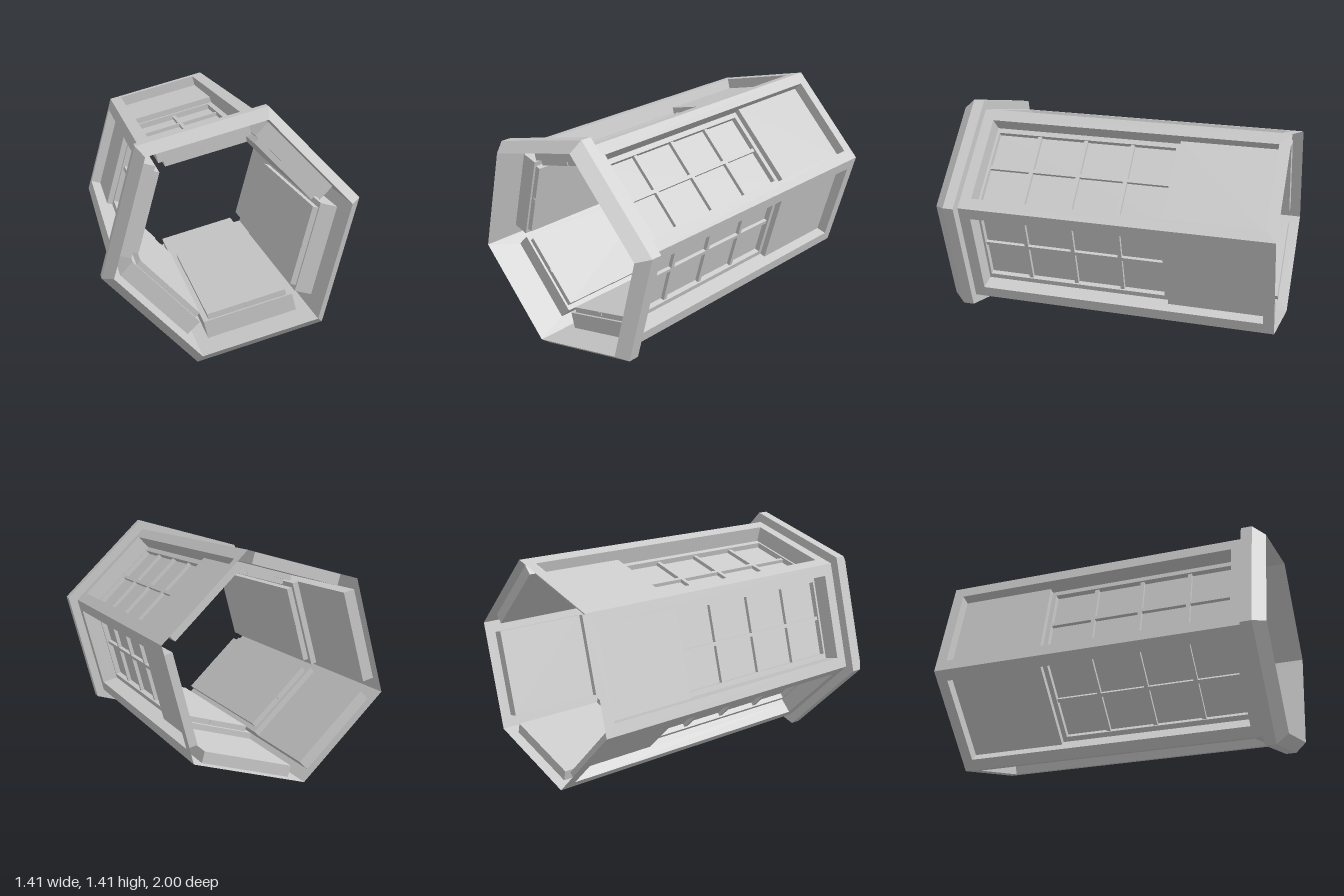
import * as THREE from 'three';

const material = new THREE.MeshStandardMaterial({ color: 0xcccccc, side: THREE.DoubleSide, flatShading: true });
const BODY_R = 0.667, RIM_R = 0.73, AXIS_Y = 0.71;
const WALL = BODY_R * Math.cos(Math.PI / 6); // distance of each wall from the axis
const PANEL = 0.513, SILL = 0.478, GLASS = 0.445; // inward steps, same measure

function add(group, name, geometry, x = 0, y = 0, z = 0) {
  const mesh = new THREE.Mesh(geometry, material);
  mesh.name = name;
  mesh.position.set(x, y, z);
  group.add(mesh);
  return mesh;
}

// Flat-faced skin joining closed loops that have equal point counts
function loft(loops) {
  const pos = [];
  for (let k = 0; k + 1 < loops.length; k++) {
    const a = loops[k], b = loops[k + 1], n = a.length;
    for (let i = 0; i < n; i++) {
      const j = (i + 1) % n;
      pos.push(...a[i], ...a[j], ...b[j], ...a[i], ...b[j], ...b[i]);
    }
  }
  const g = new THREE.BufferGeometry();
  g.setAttribute('position', new THREE.Float32BufferAttribute(pos, 3));
  g.computeVertexNormals();
  return g;
}

// Rectangle in wall space: x across the wall, y along the axis, z outward
const rect = (half, y0, y1, z) => [[-half, y0, z], [half, y0, z], [half, y1, z], [-half, y1, z]];

const hexagon = (r, z) => Array.from({ length: 6 }, (_, i) => {
  const a = THREE.MathUtils.degToRad(15 + 60 * i);
  return [r * Math.cos(a), r * Math.sin(a), z];
});

function createSide() {
  const side = new THREE.Group();
  const back = -0.935, split = -0.36, front = 0.797, half = 0.263;
  const winHalf = 0.232, winBack = -0.332, winFront = 0.783;

  // Outer wall with its recessed opening
  add(side, 'wallFrame', loft([
    rect(BODY_R / 2, -1, 1, WALL),
    rect(half, back, front, WALL),
    rect(half, back, front, PANEL),
  ]));

  // Plain panel at the rear of the recess
  add(side, 'rearPanel', new THREE.PlaneGeometry(half * 2, split - back), 0, (split + back) / 2, PANEL);

  // Stepped window frame and its pane
  add(side, 'windowFrame', loft([
    rect(half, split, front, PANEL),
    rect(half, split, front, SILL),
    rect(winHalf, winBack, winFront, SILL),
    rect(winHalf, winBack, winFront, GLASS),
  ]));
  const length = winFront - winBack, mid = (winFront + winBack) / 2;
  add(side, 'windowPane', new THREE.PlaneGeometry(winHalf * 2, length), 0, mid, GLASS);

  // Glazing bars
  const barZ = GLASS + 0.012;
  add(side, 'longBar', new THREE.BoxGeometry(0.022, length + 0.008, 0.022), 0, mid, barZ);
  for (const y of [0.52, 0.225, -0.067]) {
    add(side, 'crossBar', new THREE.BoxGeometry(winHalf * 2, 0.024, 0.022), 0, y, barZ);
  }
  return side;
}

export function createModel() {
  const model = new THREE.Group();
  model.name = 'hexagonalCorridor';

  // Six identical walls around the axis
  for (let i = 0; i < 6; i++) {
    const a = THREE.MathUtils.degToRad(45 + 60 * i);
    const side = createSide();
    side.name = 'side' + (i + 1);
    side.quaternion.setFromRotationMatrix(new THREE.Matrix4().makeBasis(
      new THREE.Vector3(-Math.sin(a), Math.cos(a), 0),
      new THREE.Vector3(0, 0, 1),
      new THREE.Vector3(Math.cos(a), Math.sin(a), 0),
    ));
    side.position.y = AXIS_Y;
    model.add(side);
  }

  // Chamfered collar around the front opening
  add(model, 'frontRim', loft([
    hexagon(BODY_R, 0.865),
    hexagon(RIM_R, 0.865),
    hexagon(RIM_R, 0.93),
    hexagon(BODY_R, 1),
  ]), 0, AXIS_Y, 0);

  return model;
}
